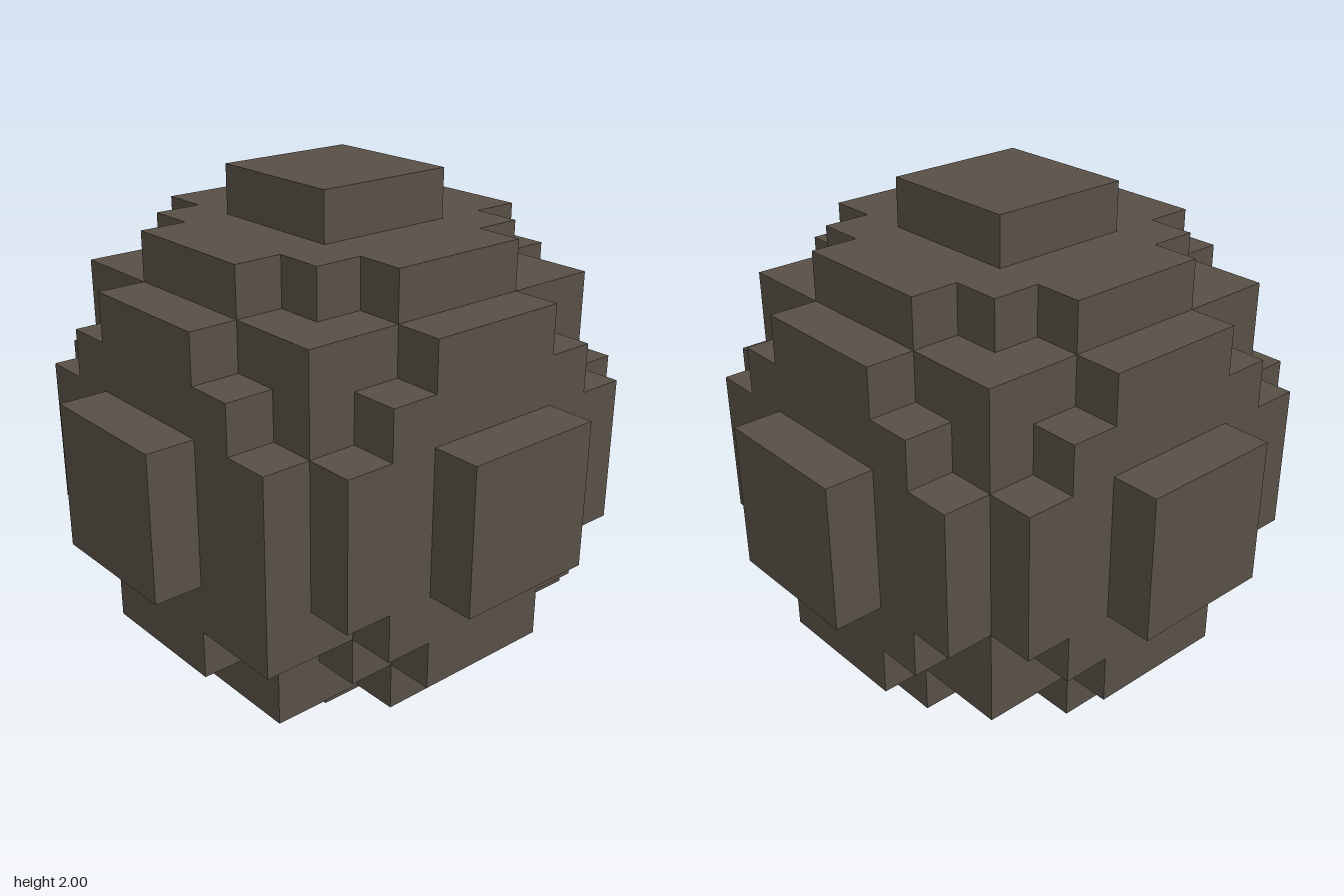
import * as THREE from 'three';
import { mergeGeometries } from 'three/addons/utils/BufferGeometryUtils.js';

const CELL = 2 / 11; // the ball is eleven cubes across
const RADIUS_SQ = 27;

// chipped corner: one cube missing, two cubes displaced beside it
const REMOVED = new Set(['-3,-3,3']);
const ADDED = new Set(['-4,-2,3', '-3,-4,2']);

function isSolid(x, y, z) {
  const key = `${x},${y},${z}`;
  if (REMOVED.has(key)) return false;
  return ADDED.has(key) || x * x + y * y + z * z <= RADIUS_SQ;
}

// six outward directions, each with a unit face turned to look that way
const DIRECTIONS = [
  [1, 0, 0], [-1, 0, 0], [0, 1, 0], [0, -1, 0], [0, 0, 1], [0, 0, -1],
].map((d) => {
  const normal = new THREE.Vector3(...d);
  const turn = new THREE.Quaternion().setFromUnitVectors(new THREE.Vector3(0, 0, 1), normal);
  const face = new THREE.PlaneGeometry(CELL, CELL).applyQuaternion(turn);
  face.translate(...normal.clone().multiplyScalar(CELL / 2).toArray());
  return { d, face };
});

// exposed cube faces of the stepped ball, without the six knobs
function steppedBall() {
  const faces = [];
  for (let x = -4; x <= 4; x++)
    for (let y = -4; y <= 4; y++)
      for (let z = -4; z <= 4; z++) {
        if (!isSolid(x, y, z)) continue;
        for (const { d, face } of DIRECTIONS) {
          if (isSolid(x + d[0], y + d[1], z + d[2])) continue;
          faces.push(face.clone().translate(x * CELL, y * CELL, z * CELL));
        }
      }
  return mergeGeometries(faces);
}

export function createModel() {
  const group = new THREE.Group();
  group.name = 'blockBall';
  const stone = new THREE.MeshStandardMaterial({ color: 0x5a5148 });
  stone.name = 'darkStone';

  const body = new THREE.Mesh(steppedBall(), stone);
  body.name = 'steppedBody';
  body.position.y = 1;
  group.add(body);

  // a square knob at the end of every axis
  for (const { d } of DIRECTIONS) {
    const size = d.map((v) => (v ? CELL : 3 * CELL));
    const knob = new THREE.Mesh(new THREE.BoxGeometry(...size), stone);
    knob.name = 'knob';
    knob.position.set(d[0] * 5 * CELL, 1 + d[1] * 5 * CELL, d[2] * 5 * CELL);
    group.add(knob);
  }
  return group;
}
